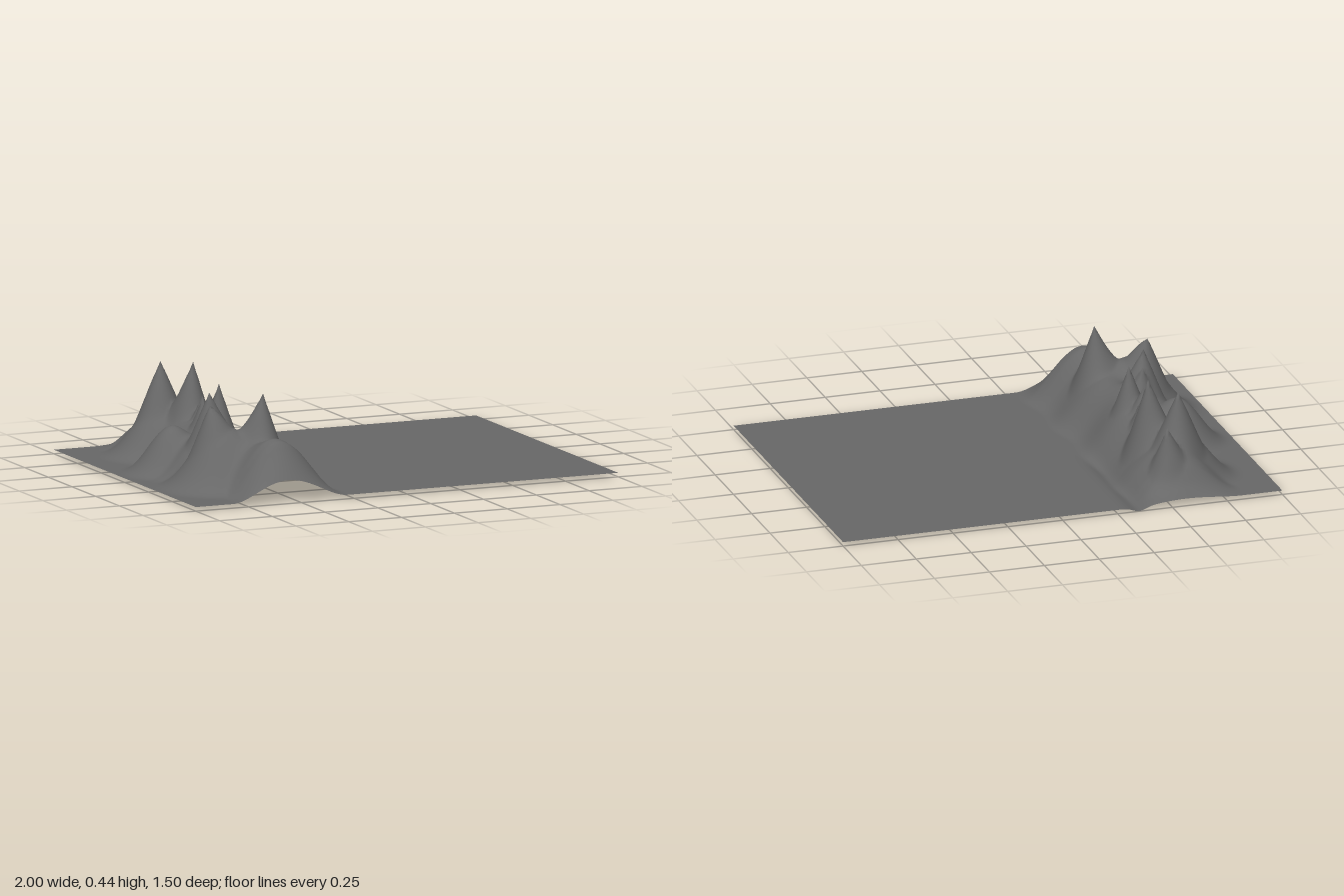
import * as THREE from 'three';

const GROUND = 0.02;

// Ridge crest height above the ground along z: [z, height]
const CREST = [[-0.75, 0.015], [-0.7, 0.06], [-0.65, 0.13], [-0.6, 0.17], [-0.5, 0.17], [-0.4, 0.15],
  [-0.25, 0.185], [-0.1, 0.205], [0.05, 0.21], [0.2, 0.205], [0.5, 0.21], [0.58, 0.24], [0.63, 0.23], [0.75, 0.085]];

// Foothills with concave skirts: [x, z, height, radius]
const MOUNDS = [[-0.75, -0.05, 0.205, 0.25], [-0.695, 0.35, 0.26, 0.32], [-0.64, -0.45, 0.21, 0.28],
  [-0.66, 0.12, 0.2, 0.29], [-0.57, -0.33, 0.14, 0.26]];

// Sharp summits: [x, z, top height, radius]
const PEAKS = [[-0.525, 0.4, 0.425, 0.11], [-0.7375, 0.31, 0.375, 0.1], [-0.6625, 0.1375, 0.395, 0.1],
  [-0.6375, 0.075, 0.335, 0.06], [-0.5375, -0.0375, 0.395, 0.08], [-0.575, -0.125, 0.325, 0.06],
  [-0.5375, -0.2125, 0.315, 0.055], [-0.525, -0.3375, 0.44, 0.12], [-0.6125, -0.4875, 0.425, 0.12],
  [-0.525, -0.6, 0.31, 0.08]];

function crestHeight(z) {
  const i = Math.max(1, CREST.findIndex(p => p[0] >= z - 1e-6));
  const [a, b] = [CREST[i - 1], CREST[i]];
  return THREE.MathUtils.lerp(a[1], b[1], (z - a[0]) / (b[0] - a[0]));
}

const bump = (d, r, power) => (d < r ? (1 - (d / r) ** 2) ** power : 0);

// Smooth mountain body: long ridge blended with the foothills
function body(x, z) {
  const dx = x + 0.56 + 0.012 * Math.sin(z * 17);
  let sum = (crestHeight(z) * bump(Math.abs(dx), dx > 0 ? 0.25 + 0.04 * z : 0.26, 2)) ** 4;
  for (const [mx, mz, h, r] of MOUNDS) sum += (h * bump(Math.hypot(x - mx, z - mz), r, 3)) ** 4;
  return sum ** 0.25;
}

function terrainHeight(x, z) {
  let spike = 0;
  for (const [px, pz, top, r] of PEAKS) {
    const d = Math.hypot(x - px, z - pz);
    if (d < r) spike = Math.max(spike, (top - GROUND - body(px, pz)) * (1 - d / r) ** 1.3);
  }
  // shallow trough along the foot of the ridge towards the back
  const trough = 0.018 * Math.exp(-(((x + 0.35) / 0.04) ** 2)) * THREE.MathUtils.smoothstep(-z, -0.05, 0.25);
  return Math.max(0, GROUND + body(x, z) + spike - trough);
}

export function createModel() {
  const group = new THREE.Group();
  group.name = 'terrain';

  // One sheet: flat plain with the mountain range raised from it
  const geometry = new THREE.PlaneGeometry(2, 1.5, 160, 120).rotateX(-Math.PI / 2);
  const pos = geometry.attributes.position;
  for (let i = 0; i < pos.count; i++) pos.setY(i, terrainHeight(pos.getX(i), pos.getZ(i)));
  geometry.computeVertexNormals();

  const mesh = new THREE.Mesh(geometry, new THREE.MeshStandardMaterial({ color: 0x676767, side: THREE.DoubleSide }));
  mesh.name = 'mountainLandscape';
  group.add(mesh);
  return group;
}
